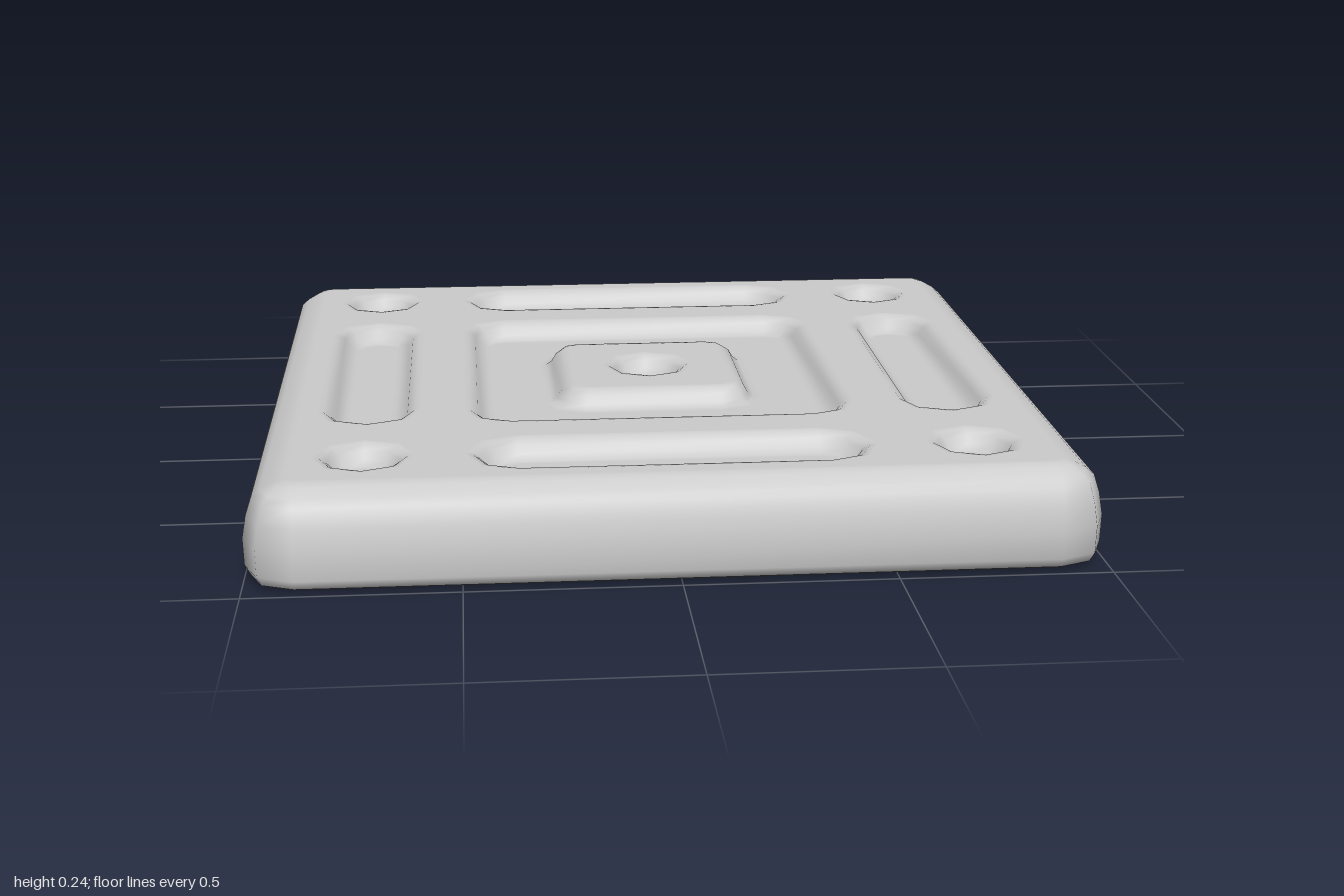
import * as THREE from 'three';

const TOP = 0.24;
const material = new THREE.MeshStandardMaterial({ color: 0xcccccc });

// Rounded rectangle outline with two-step corners; an octagon when r equals both half sizes
function outline(hx, hz, r, cx = 0, cz = 0) {
  const points = [];
  const round = hx - r < 1e-6 && hz - r < 1e-6;
  for (let q = 0; q < 4; q++) {
    const sx = q === 0 || q === 3 ? 1 : -1, sz = q < 2 ? 1 : -1;
    for (let j = round ? 1 : 0; j <= 2; j++) {
      const a = (q + j / 2) * Math.PI / 2;
      points.push(new THREE.Vector2(cx + sx * (hx - r) + r * Math.cos(a), cz + sz * (hz - r) + r * Math.sin(a)));
    }
  }
  return points;
}

// Smooth skin through a stack of { points, y } rings, optionally closed by a flat cap at either end
function skin(rings, { centre = [0, 0], capStart = false, capEnd = false } = {}) {
  const n = rings[0].points.length, pos = [], index = [];
  for (const { points, y } of rings) for (const p of points) pos.push(p.x, y, p.y);
  for (let k = 0; k < rings.length - 1; k++) {
    for (let i = 0; i < n; i++) {
      const a = k * n + i, b = k * n + (i + 1) % n;
      index.push(a, a + n, b, b, a + n, b + n);
    }
  }
  const cap = (k, start) => {
    const c = pos.length / 3;
    pos.push(centre[0], rings[k].y, centre[1]);
    for (let i = 0; i < n; i++) {
      const a = k * n + i, b = k * n + (i + 1) % n;
      if (start) index.push(c, a, b); else index.push(a, c, b);
    }
  };
  if (capStart) cap(0, true);
  if (capEnd) cap(rings.length - 1, false);
  const g = new THREE.BufferGeometry();
  g.setAttribute('position', new THREE.Float32BufferAttribute(pos, 3));
  g.setIndex(index);
  g.computeVertexNormals();
  return g;
}

// Flat horizontal face with holes
function plate(points, holes, y) {
  const flip = (list) => list.map((p) => new THREE.Vector2(p.x, -p.y));
  const shape = new THREE.Shape(flip(points));
  shape.holes = holes.map((h) => new THREE.Path(flip(h)));
  return new THREE.ShapeGeometry(shape).rotateX(-Math.PI / 2).translate(0, y, 0);
}

// Recess wall: [inset, drop], starting with a flat lip so it blends into the top
const WALL = [[-0.015, 0], [0, 0.002], [0.018, 0.014], [0.03, 0.034], [0.05, 0.045], [0.065, 0.046]];

function recessRings({ hx, hz, r, x = 0, z = 0 }) {
  const round = hx === r && hz === r;
  return WALL.map(([d, drop]) => ({
    points: outline(hx - d, hz - d, round ? r - d : Math.max(r - d, 0.035), x, z),
    y: TOP - drop,
  }));
}

export function createModel() {
  const group = new THREE.Group();
  const add = (name, geometry) => {
    const mesh = new THREE.Mesh(geometry, material);
    mesh.name = name;
    group.add(mesh);
  };

  // Slab sides and underside: [half width, height]
  const profile = [[0.94, 0], [0.965, 0.003], [0.985, 0.012], [0.998, 0.035], [1, 0.1],
    [0.99, 0.155], [0.975, 0.2], [0.955, 0.217], [0.925, 0.234], [0.905, TOP], [0.89, TOP]];
  const slab = profile.map(([h, y]) => ({ points: outline(h, h, Math.max(h - 0.88, 0.02)), y }));
  add('slab', skin(slab, { capStart: true }));

  // Corner dimples and edge slots
  const holes = [];
  const addRecess = (name, spec) => {
    const rings = recessRings(spec);
    add(name, skin(rings, { centre: [spec.x, spec.z], capEnd: true }));
    return rings[0].points;
  };
  for (const s of [-1, 1]) {
    for (const t of [-1, 1]) {
      holes.push(addRecess('cornerDimple', { hx: 0.105, hz: 0.105, r: 0.105, x: s * 0.727, z: t * 0.727 }));
    }
    holes.push(addRecess('crossSlot', { hx: 0.47, hz: 0.113, r: 0.105, x: 0, z: s * 0.727 }));
    holes.push(addRecess('sideSlot', { hx: 0.113, hz: 0.47, r: 0.105, x: s * 0.727, z: 0 }));
  }

  // Central square recess rising again to a raised island
  const centre = recessRings({ hx: 0.475, hz: 0.475, r: 0.1 });
  holes.push(centre[0].points);
  const rise = [[0.285, 0.046], [0.265, 0.045], [0.25, 0.034], [0.238, 0.014], [0.22, 0.002], [0.205, 0]];
  for (const [h, drop] of rise) centre.push({ points: outline(h, h, h - 0.175), y: TOP - drop });
  add('centreRecess', skin(centre));

  // Island top with its dimple
  const dimple = addRecess('centreDimple', { hx: 0.105, hz: 0.105, r: 0.105, x: 0, z: 0 });
  add('islandTop', plate(centre[centre.length - 1].points, [dimple], TOP));

  // Flat top between the recesses
  add('topFace', plate(slab[slab.length - 1].points, holes, TOP));
  return group;
}
